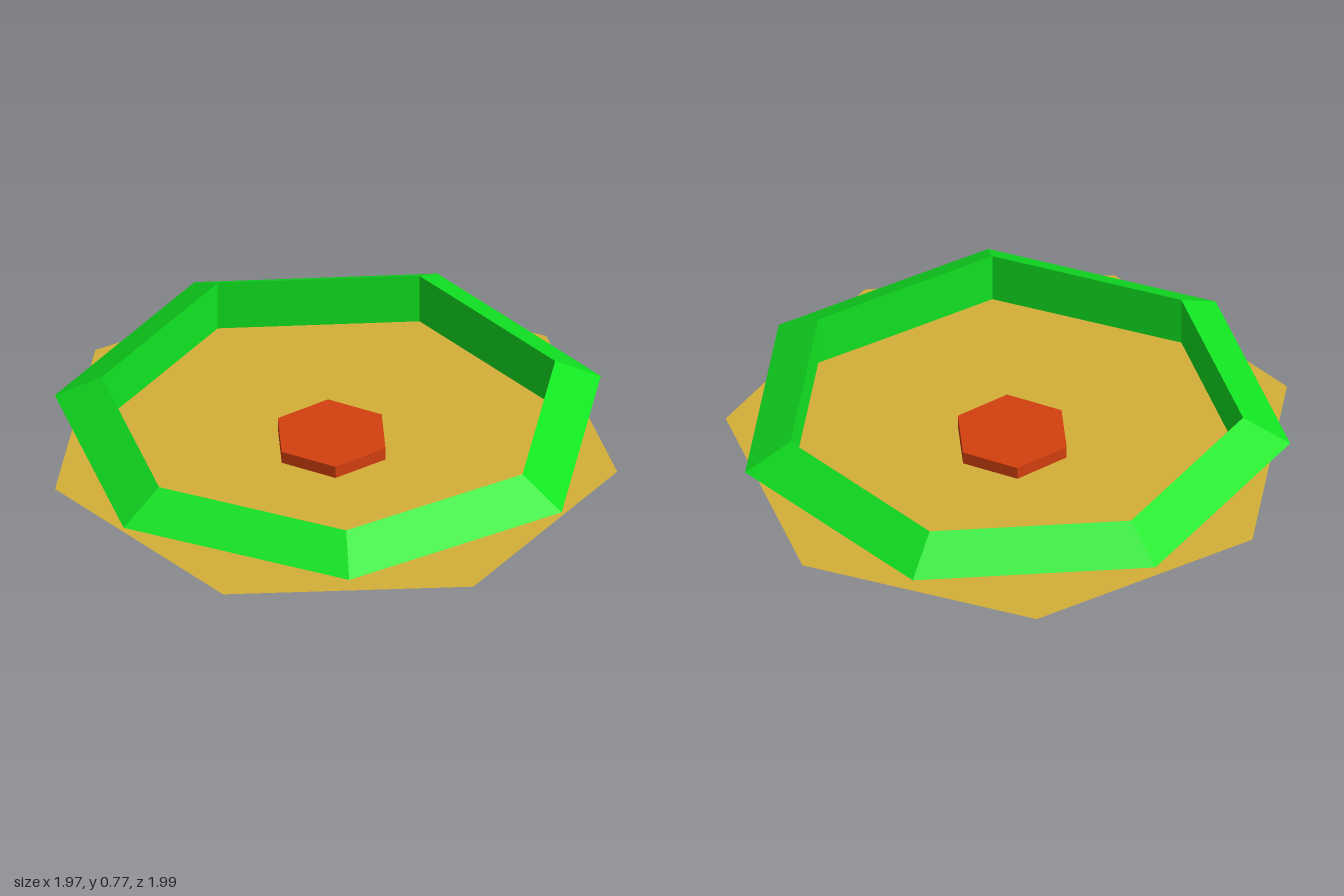
import * as THREE from 'three';

const paint = (color) => new THREE.MeshStandardMaterial({ color, flatShading: true });

function addPart(group, name, geometry, color, y) {
  const mesh = new THREE.Mesh(geometry, paint(color));
  mesh.name = name;
  mesh.position.set(0, y, 0.013);
  group.add(mesh);
  return mesh;
}

export function createModel() {
  const group = new THREE.Group();
  group.name = 'spinningTop';

  // Seven-sided cone standing on its tip, one corner pointing back
  const cone = new THREE.CylinderGeometry(1.01, 0, 0.57, 7, 1, false, Math.PI);
  const body = addPart(group, 'coneBody', cone, 0xd4af37, 0.287);
  body.rotation.z = -0.005;

  // Seven-sided ring with a triangular section, one corner pointing forward
  const ring = new THREE.TorusGeometry(0.87, 0.111, 3, 7)
    .rotateZ(Math.PI / 2)
    .rotateX(Math.PI / 2);
  const rim = addPart(group, 'rimRing', ring, 0x11e622, 0.67);
  rim.rotation.x = 0.005;

  // Small hexagonal button in the middle of the top
  addPart(group, 'centreButton', new THREE.CylinderGeometry(0.21, 0.21, 0.05, 6), 0xd4400f, 0.594);

  return group;
}
